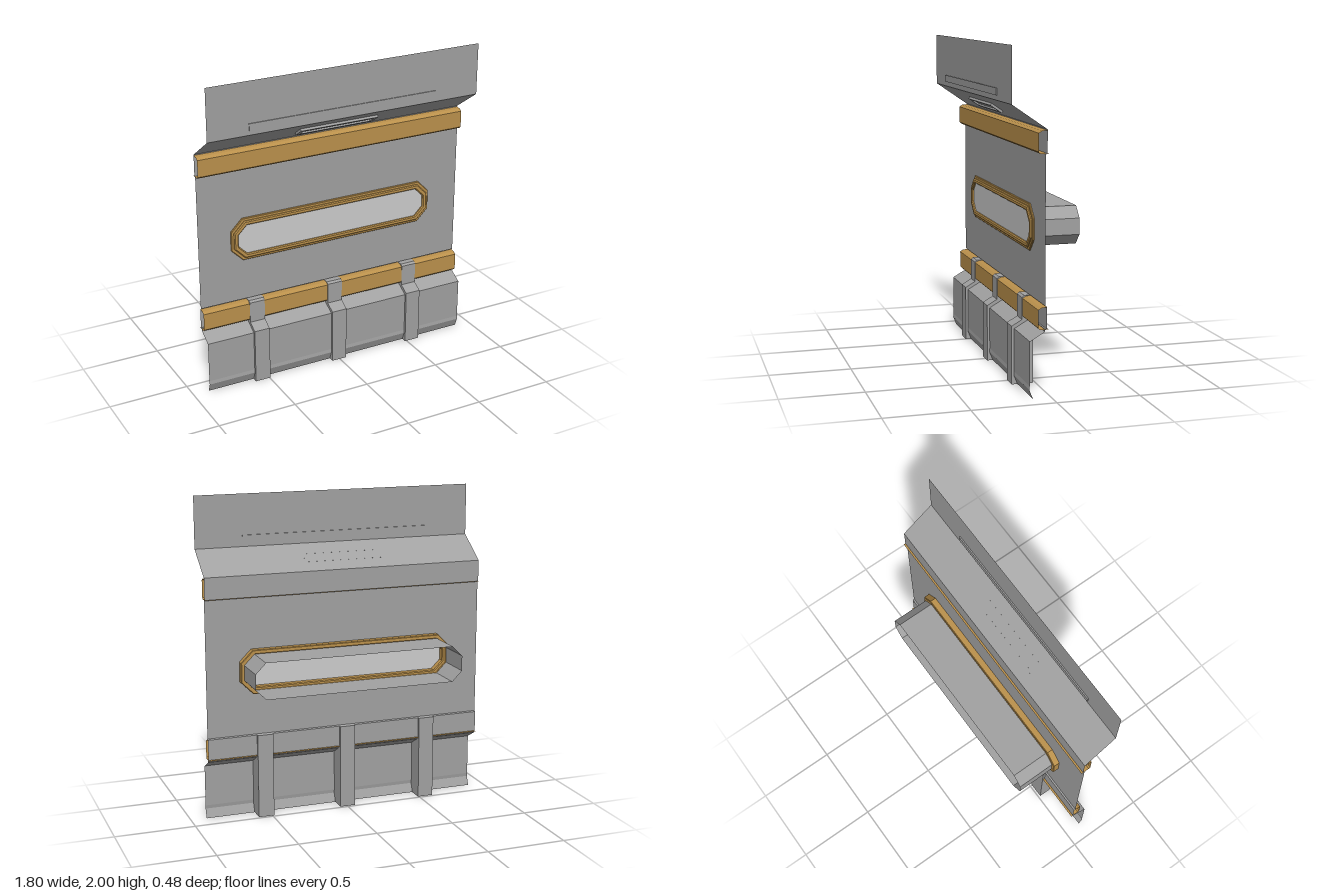
import * as THREE from 'three';

const paint = (color) => new THREE.MeshStandardMaterial({ color, flatShading: true, side: THREE.DoubleSide });
const grey = paint(0xa1a1a1);
const gold = paint(0xbb914c);
const pale = paint(0xcccccc);

const HALF = 0.9; // half width of the wall

function named(name, geometry, material) {
  const mesh = new THREE.Mesh(geometry, material);
  mesh.name = name;
  return mesh;
}

// Flat-faced geometry from a list of triangle corners
function faceted(pos) {
  const g = new THREE.BufferGeometry();
  g.setAttribute('position', new THREE.Float32BufferAttribute(pos, 3));
  g.computeVertexNormals();
  return g;
}

// Thin folded sheet: a [z, y] profile (listed top to bottom) swept along x
function sheet(name, profile, material) {
  const pos = [];
  for (let i = 0; i < profile.length - 1; i++) {
    const [z0, y0] = profile[i], [z1, y1] = profile[i + 1];
    pos.push(-HALF, y0, z0, -HALF, y1, z1, HALF, y1, z1);
    pos.push(-HALF, y0, z0, HALF, y1, z1, HALF, y0, z0);
  }
  return named(name, faceted(pos), material);
}

const points = (list) => list.map(([x, y]) => new THREE.Vector2(x, y));

// Corners of a rectangle
const rect = (w, h) => points([[-w, -h], [w, -h], [w, h], [-w, h]]);

// Corners of a long octagon centred on the window
const WIN_Y = 0.941;
function octagon(w, h, c) {
  return points([[w - c, -h], [w, -h + c], [w, h - c], [w - c, h], [-w + c, h], [-w, h - c], [-w, -h + c], [-w + c, -h]]
    .map(([x, y]) => [x, y + WIN_Y]));
}

// Octagonal ring between two outlines, from z0 to z1
function ring(name, outer, inner, z0, z1, bevel) {
  const shape = new THREE.Shape(octagon(...outer));
  shape.holes.push(new THREE.Path(octagon(...inner)));
  const g = new THREE.ExtrudeGeometry(shape, {
    depth: z1 - z0 - bevel * 2, bevelEnabled: true, bevelSize: bevel,
    bevelThickness: bevel, bevelOffset: -bevel, bevelSegments: 1,
  });
  g.translate(0, 0, z0 + bevel);
  return named(name, g, gold);
}

export function createModel() {
  const model = new THREE.Group();
  model.name = 'wallPanel';

  // Upright header and the sloping soffit below it, then the strip behind the upper trim
  model.add(sheet('header', [[0.236, 2], [0.236, 1.676], [0.03, 1.535], [0.03, 1.4], [0.04, 1.395]], grey));

  // Main wall with the window opening
  const wall = new THREE.Shape(points([[-HALF, 0.537], [HALF, 0.537], [HALF, 1.395], [-HALF, 1.395]]));
  wall.holes.push(new THREE.Path(octagon(0.67, 0.115, 0.065)));
  const wallMesh = named('mainWall', new THREE.ShapeGeometry(wall), grey);
  wallMesh.position.z = 0.04;
  model.add(wallMesh);

  // Strip behind the lower trim, then the skirt with its undercut base
  model.add(sheet('skirt', [[0.04, 0.537], [0.03, 0.532], [0.03, 0.403], [0.04, 0.403], [0.04, 0.388],
    [0.13, 0.337], [0.13, 0.078], [0.133, 0.056], [0.11, 0]], grey));

  // Two matching trim bands
  for (const [name, y] of [['upperTrim', 1], ['lowerTrim', 0]]) {
    model.add(sheet(name, [[0.03, 0.53], [0.06, 0.527], [0.08, 0.515], [0.08, 0.41], [0.07, 0.4], [0.018, 0.4]]
      .map(([z, h]) => [z, h + y]), gold));
  }

  // Window: stepped frame, pane and the open tunnel behind
  const win = new THREE.Group();
  win.name = 'window';
  win.add(ring('outerFrame', [0.69, 0.138, 0.076], [0.664, 0.112, 0.065], 0, 0.05, 0.004));
  win.add(ring('innerFrame', [0.673, 0.121, 0.069], [0.645, 0.094, 0.057], 0.005, 0.062, 0.006));
  const pane = named('pane', new THREE.ShapeGeometry(new THREE.Shape(octagon(0.65, 0.1, 0.06))), pale);
  pane.position.z = 0.048;
  win.add(pane);
  const outline = octagon(0.67, 0.113, 0.065);
  const front = 0, back = -0.24;
  const tunnelPos = [];
  outline.forEach((a, i) => {
    const b = outline[(i + 1) % outline.length];
    tunnelPos.push(a.x, a.y, front, a.x, a.y, back, b.x, b.y, back);
    tunnelPos.push(a.x, a.y, front, b.x, b.y, back, b.x, b.y, front);
  });
  win.add(named('windowTunnel', faceted(tunnelPos), grey));
  model.add(win);

  // Three ribs: side profile in (-z, y), extruded along x
  const ribShape = new THREE.Shape(points([[-0.014, 0], [-0.014, 0.532], [-0.07, 0.532], [-0.083, 0.52],
    [-0.083, 0.388], [-0.146, 0.352], [-0.146, 0]]));
  for (const x of [-0.544, -0.004, 0.538]) {
    const g = new THREE.ExtrudeGeometry(ribShape, { depth: 0.1, bevelEnabled: false });
    g.translate(0, 0, -0.05);
    g.rotateY(Math.PI / 2);
    const rib = named('rib', g, grey);
    rib.position.x = x;
    model.add(rib);
  }

  // Thin bar set through the header, showing on both sides
  const bar = named('headerBar', new THREE.BoxGeometry(1.24, 0.042, 0.014), grey);
  bar.position.set(-0.02, 1.726, 0.235);
  model.add(bar);

  // Shallow fitting under the soffit: a rim round a recessed plate
  const fitting = new THREE.Group();
  fitting.name = 'soffitFitting';
  const rim = new THREE.Shape(rect(0.26, 0.043));
  rim.holes.push(new THREE.Path(rect(0.235, 0.028)));
  fitting.add(named('fittingRim', new THREE.ExtrudeGeometry(rim, { depth: 0.015, bevelEnabled: false }), grey));
  const plate = named('fittingPlate', new THREE.BoxGeometry(0.47, 0.056, 0.004), grey);
  plate.position.z = 0.003;
  fitting.add(plate);
  fitting.position.set(-0.02, 1.606, 0.133);
  fitting.rotation.x = Math.atan2(0.206, 0.141);
  model.add(fitting);

  return model;
}
